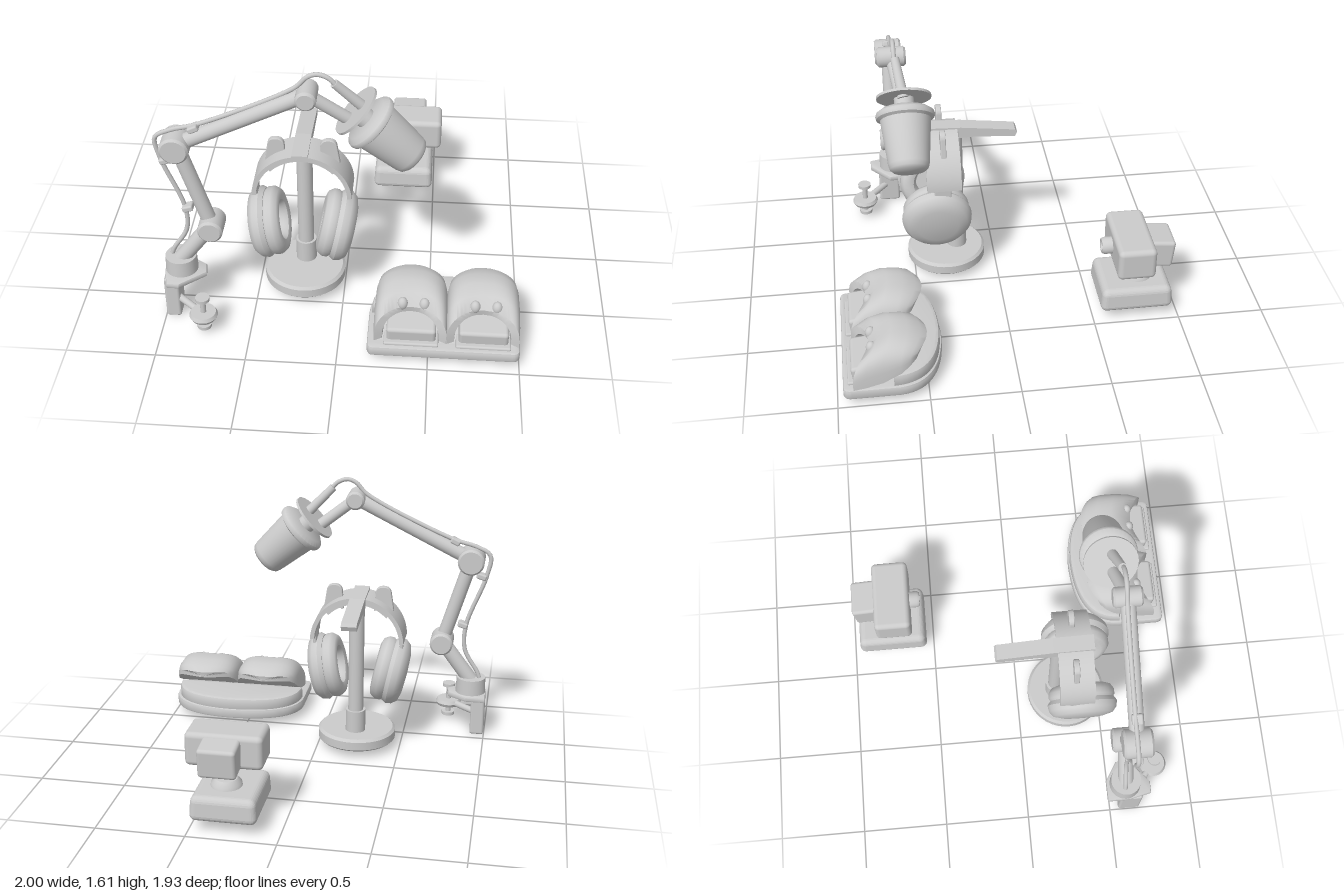
import * as THREE from 'three';
import { toCreasedNormals } from 'three/addons/utils/BufferGeometryUtils.js';
import { RoundedBoxGeometry } from 'three/addons/geometries/RoundedBoxGeometry.js';

const mat = new THREE.MeshStandardMaterial({ color: 0xcccccc, side: THREE.DoubleSide });
const V = (x, y, z) => new THREE.Vector3(x, y, z);
const UP = V(0, 1, 0);

function add(parent, name, geo, pos = [0, 0, 0], rot = [0, 0, 0]) {
  const m = new THREE.Mesh(geo, mat);
  m.name = name;
  m.position.set(...pos);
  m.rotation.set(...rot);
  parent.add(m);
  return m;
}
function group(parent, name) {
  const g = new THREE.Group();
  g.name = name;
  parent.add(g);
  return g;
}
// Cylinder between two points
function rod(parent, name, a, b, r0, r1 = r0, sides = 20) {
  const d = b.clone().sub(a);
  const m = add(parent, name, new THREE.CylinderGeometry(r1, r0, d.length(), sides));
  m.position.copy(a).addScaledVector(d, 0.5);
  m.quaternion.setFromUnitVectors(UP, d.normalize());
  return m;
}
const lathe = (pts, sides = 32) =>
  toCreasedNormals(new THREE.LatheGeometry(pts.map(p => new THREE.Vector2(...p)), sides), 0.7);
const box = (w, h, d, r = 0.02) => new RoundedBoxGeometry(w, h, d, 3, r);

// Flat slab from an outline drawn in x and z, between heights y0 and y1
function slab(shape, y0, y1, bevel = 0.01) {
  const g = new THREE.ExtrudeGeometry(shape, {
    depth: y1 - y0 - 2 * bevel, bevelThickness: bevel, bevelSize: bevel, bevelOffset: -bevel,
    bevelSegments: 2, curveSegments: 16,
  });
  return toCreasedNormals(g.rotateX(-Math.PI / 2).translate(0, y0 + bevel, 0), 0.6);
}

function buildMicArm(root) {
  const g = group(root, 'microphoneArm'), Z = 0.58;
  // Desk clamp
  const plate = new THREE.Shape([[-1, -0.47], [-1, -0.6], [-0.97, -0.73], [-0.9, -0.73], [-0.76, -0.61],
    [-0.77, -0.54], [-0.88, -0.47]].map(p => new THREE.Vector2(...p)).reverse());
  add(g, 'clampPlate', slab(plate, 0.25, 0.285));
  add(g, 'clampPost', box(0.085, 0.27, 0.13, 0.015), [-0.955, 0.135, 0.615]);
  rod(g, 'clampBar', V(-0.94, 0.12, 0.63), V(-0.76, 0.12, 0.78), 0.02);
  add(g, 'clampPad', lathe([[0, -0.02], [0.07, -0.02], [0.08, 0], [0.07, 0.02], [0, 0.02]]), [-0.76, 0.12, 0.78]);
  rod(g, 'clampScrew', V(-0.76, 0.04, 0.78), V(-0.76, 0.24, 0.78), 0.016);
  for (const y of [0.04, 0.235])
    add(g, 'screwKnob', new THREE.CylinderGeometry(0.04, 0.04, 0.02, 20), [-0.76, y, 0.78]);
  rod(g, 'swivelBase', V(-0.905, 0.28, Z), V(-0.905, 0.38, Z), 0.092, 0.088, 28);
  // Jointed arm
  const base = V(-0.9, 0.36, Z), low = V(-0.717, 0.604, Z), mid = V(-0.876, 1.135, Z), top = V(-0.175, 1.48, Z);
  rod(g, 'shortArm', base, low, 0.045);
  rod(g, 'lowerArm', low, mid, 0.042);
  rod(g, 'upperArm', mid, top, 0.042);
  [[low, 0.07], [mid, 0.08], [top, 0.056]].forEach(([p, r]) => add(g, 'joint',
    lathe([[0, -0.08], [r - 0.012, -0.08], [r, -0.068], [r, 0.068], [r - 0.012, 0.08], [0, 0.08]], 24),
    p.toArray(), [Math.PI / 2, 0, 0]));
  // Cable and its clips
  const path = [[-0.955, 0.38], [-0.94, 0.42], [-0.86, 0.56], [-0.86, 0.72], [-0.97, 1.04], [-0.985, 1.17], [-0.9, 1.22],
    [-0.76, 1.26], [-0.24, 1.51], [-0.17, 1.58], [-0.12, 1.597], [-0.06, 1.575], [-0.02, 1.53]];
  const curve = new THREE.CatmullRomCurve3(path.map(([x, y]) => V(x, y, Z - 0.01)), false, 'centripetal');
  add(g, 'cable', new THREE.TubeGeometry(curve, 90, 0.013, 8));
  [[-0.775, 1.245, 0.45], [-0.94, 1.035, 0.3], [-0.84, 0.72, 0.3]].forEach(([x, y, a]) =>
    add(g, 'cableClip', box(0.06, 0.035, 0.06, 0.01), [x, y, Z], [0, 0, a]));
  // Microphone
  rod(g, 'headBracket', top, V(0.04, 1.315, 0.54), 0.034);
  rod(g, 'cablePlug', V(-0.035, 1.545, 0.565), V(0.12, 1.385, 0.535), 0.024, 0.03);
  const mic = group(g, 'microphone');
  mic.position.set(0.075, 1.362, 0.53);
  mic.quaternion.setFromUnitVectors(UP, V(0.74, -0.67, 0).normalize());
  add(mic, 'shieldDisc', new THREE.CylinderGeometry(0.15, 0.15, 0.014, 36));
  add(mic, 'stem', new THREE.CylinderGeometry(0.055, 0.055, 0.1, 20), [0, 0.05, 0]);
  add(mic, 'microphoneBody', lathe([[0, 0.07], [0.13, 0.07], [0.158, 0.09], [0.162, 0.105], [0.158, 0.12],
    [0.138, 0.13], [0.112, 0.375], [0.105, 0.4], [0.088, 0.415], [0, 0.418]], 36));
}

function buildHeadphones(root) {
  const X = -0.235;
  // Stand
  const s = group(root, 'headphoneStand');
  add(s, 'standBase', lathe([[0, 0.05], [0.225, 0.05], [0.235, 0.06], [0.235, 0.11], [0.22, 0.125], [0, 0.125]], 40),
    [X, 0, 0.3]);
  rod(s, 'poleSleeve', V(X, 0.12, 0.235), V(X, 0.26, 0.235), 0.06);
  rod(s, 'pole', V(X, 0.12, 0.235), V(X, 0.95, 0.235), 0.046);
  const hook = new THREE.Shape([[-0.43, 0.962], [-0.43, 0.982], [-0.2, 0.975], [0.12, 0.938], [0.132, 0.92],
    [0.12, 0.892], [-0.1, 0.908], [-0.21, 0.905], [-0.27, 0.945]].map(p => new THREE.Vector2(...p)).reverse());
  const hg = new THREE.ExtrudeGeometry(hook, { depth: 0.09, bevelEnabled: false });
  add(s, 'hook', hg, [X - 0.05, 0, 0], [0, Math.PI / 2, 0]);

  // Headband
  const h = group(root, 'headphones');
  const arch = (r0, r1, a) => new THREE.Shape().absarc(0, 0, r1, a, Math.PI - a, false)
    .absarc(0, 0, r0, Math.PI - a, a, true);
  const strip = (r0, r1, a, d) => toCreasedNormals(new THREE.ExtrudeGeometry(arch(r0, r1, a),
    { depth: d, bevelEnabled: false, curveSegments: 32 }).translate(0, 0, -d / 2), 0.6);
  add(h, 'headband', strip(0.255, 0.28, 0.03, 0.2), [X, 0.69, 0.32]);
  add(h, 'headbandPad', strip(0.235, 0.257, 0.75, 0.16), [X, 0.69, 0.32]);
  // Ornament ears, sliders and cups on each side
  for (const side of [-1, 1]) {
    const ear = new THREE.Shape().moveTo(-0.055, 0).lineTo(0.055, 0).lineTo(0.042, 0.11)
      .quadraticCurveTo(0.035, 0.14, 0, 0.14).quadraticCurveTo(-0.035, 0.14, -0.042, 0.11);
    add(h, 'earOrnament', new THREE.ExtrudeGeometry(ear, { depth: 0.02, bevelSize: 0.004, bevelThickness: 0.006,
      bevelSegments: 2 }), [X + side * 0.15, 0.88, 0.305], [0, 0, side * 0.04]);
    add(h, 'slider', box(0.02, 0.13, 0.1, 0.008), [X + side * 0.262, 0.665, 0.33]);
    const cup = group(h, 'earCup');
    cup.position.set(X + side * 0.195, 0.478, 0.365);
    cup.rotation.z = -side * 0.2;
    const turn = [0, 0, -side * Math.PI / 2];
    add(cup, 'cupShell', lathe([[0, -0.01], [0.19, -0.01], [0.206, 0.015], [0.2, 0.05], [0.175, 0.08], [0.12, 0.095],
      [0, 0.1]], 36), [0, 0, 0], turn);
    add(cup, 'cushion', lathe([[0.1, -0.01], [0.1, -0.06], [0.115, -0.085], [0.145, -0.095], [0.175, -0.085],
      [0.195, -0.055], [0.195, -0.025], [0.18, -0.005]].reverse(), 36), [0, 0, 0], turn);
  }
}

function buildWebcam(root) {
  const g = group(root, 'webcam');
  add(g, 'cameraBody', box(0.43, 0.195, 0.22, 0.03), [0.322, 0.43, -0.725]);
  add(g, 'lensBarrel', lathe([[0, -0.05], [0.05, -0.05], [0.05, 0.03], [0.042, 0.045], [0.03, 0.045], [0.024, 0.03],
    [0, 0.03]], 24), [0.316, 0.43, -0.6], [Math.PI / 2, 0, 0]);
  add(g, 'rearHinge', box(0.21, 0.17, 0.17, 0.02), [0.33, 0.42, -0.875], [-0.1, 0, 0]);
  rod(g, 'neck', V(0.32, 0.2, -0.775), V(0.32, 0.36, -0.775), 0.03);
  add(g, 'neckFoot', lathe([[0.09, 0.19], [0.085, 0.23], [0.06, 0.255], [0, 0.26]], 24), [0.32, 0, -0.775]);
  // Base narrowing toward its top
  const base = box(0.37, 0.145, 0.42, 0.035), p = base.attributes.position;
  for (let i = 0; i < p.count; i++) if (p.getY(i) > 0) {
    p.setX(i, p.getX(i) * (1 - 0.7 * p.getY(i)));
    p.setZ(i, p.getZ(i) * (1 - 0.7 * p.getY(i)));
  }
  base.computeVertexNormals();
  add(g, 'webcamBase', base, [0.305, 0.14, -0.75]);
  rod(g, 'mountKnob', V(0.32, 0.035, -0.755), V(0.32, 0.08, -0.755), 0.042);
}

// Hollow hood lofted from arch rows: [z, halfWidth, bottom, top, sideShift]
function hood() {
  const rows = [[0.74, 0.01, 0.2, 0.21, 0], [0.74, 0.14, 0.15, 0.24, 0], [0.81, 0.155, 0.115, 0.25, 0.08],
    [0.815, 0.2, 0.11, 0.285, 0.095], [0.76, 0.203, 0.125, 0.345, 0.08], [0.69, 0.203, 0.15, 0.372, 0.06],
    [0.6, 0.198, 0.2, 0.362, 0.05], [0.53, 0.185, 0.24, 0.342, 0.07], [0.495, 0.16, 0.265, 0.315, 0.07],
    [0.5, 0.01, 0.28, 0.29, 0]];
  const N = 24, pos = [], idx = [];
  rows.forEach(([z, w, y0, y1, shift], i) => {
    for (let j = 0; j <= N; j++) {
      const t = Math.PI * (1 - j / N), c = Math.cos(t), u = Math.sign(c) * Math.abs(c) ** 0.65;
      pos.push(u * w, y0 + (y1 - y0) * Math.abs(Math.sin(t)) ** 0.6, z + shift * u * u);
      if (i < rows.length - 1) {
        const a = i * (N + 1) + j, b = i * (N + 1) + (j + 1) % (N + 1);
        idx.push(a, b, a + N + 1, b, b + N + 1, a + N + 1);
      }
    }
  });
  const geo = new THREE.BufferGeometry();
  geo.setAttribute('position', new THREE.Float32BufferAttribute(pos, 3));
  geo.setIndex(idx);
  return toCreasedNormals(geo, 0.8);
}

function buildSlippers(root) {
  const g = group(root, 'doubleSlipper');
  // Shared sole: straight front, rounded back
  const sole = new THREE.Shape().moveTo(0.2, -0.965).lineTo(0.96, -0.965).quadraticCurveTo(1, -0.965, 1, -0.92)
    .lineTo(1, -0.66).bezierCurveTo(0.99, -0.48, 0.82, -0.41, 0.6, -0.405)
    .bezierCurveTo(0.36, -0.41, 0.17, -0.48, 0.165, -0.68).lineTo(0.165, -0.92).quadraticCurveTo(0.165, -0.965, 0.2, -0.965);
  add(g, 'sole', slab(sole, 0.05, 0.112, 0.012));
  const heel = new THREE.Shape().moveTo(0.18, -0.69).lineTo(0.985, -0.69)
    .bezierCurveTo(0.98, -0.49, 0.82, -0.42, 0.6, -0.415).bezierCurveTo(0.36, -0.42, 0.18, -0.49, 0.18, -0.69);
  add(g, 'heelRise', slab(heel, 0.09, 0.18, 0.02));
  // Hoods with eyes and an inner tongue
  for (const x of [0.4, 0.795]) {
    add(g, 'hood', hood(), [x, 0, 0]);
    add(g, 'tongue', box(0.27, 0.1, 0.18, 0.02), [x + 0.005, 0.165, 0.825], [0.12, 0, 0]);
    add(g, 'tongueTray', box(0.3, 0.025, 0.1, 0.01), [x + 0.005, 0.115, 0.89]);
    for (const dx of [-0.058, 0.062])
      add(g, 'eye', new THREE.SphereGeometry(0.029, 18, 12), [x + 0.01 + dx, 0.295, 0.8]).scale.y = 1.3;
  }
}

export function createModel() {
  const root = new THREE.Group();
  root.name = 'deskSet';
  buildMicArm(root);
  buildHeadphones(root);
  buildWebcam(root);
  buildSlippers(root);
  return root;
}
